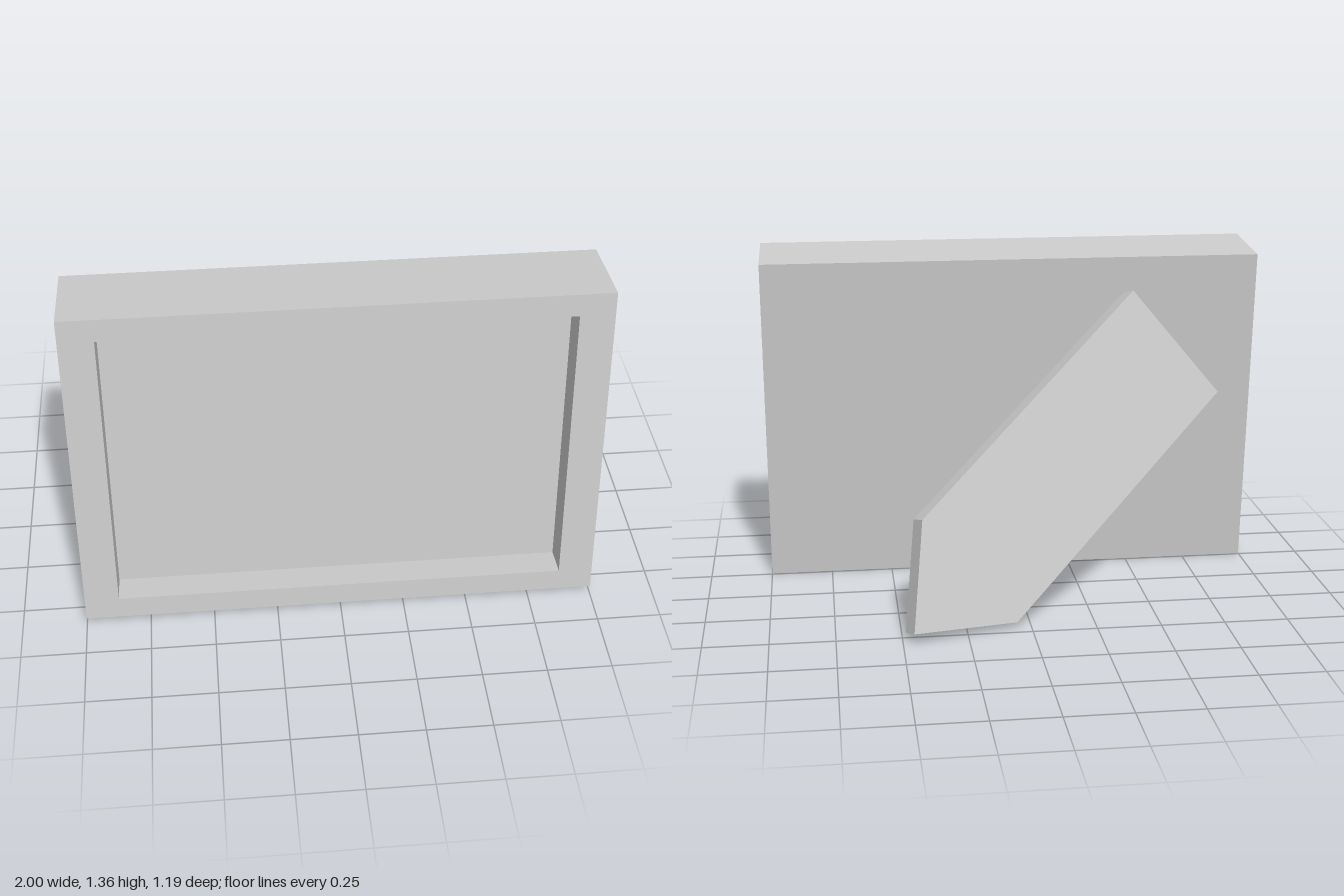
import * as THREE from 'three';

const material = new THREE.MeshStandardMaterial({ color: 0xcccccc, flatShading: true });

function addMesh(parent, geometry, name) {
  const mesh = new THREE.Mesh(geometry, material);
  mesh.name = name;
  parent.add(mesh);
  return mesh;
}

function rectangle(Path, x, y0, y1) {
  return new Path([[-x, y0], [x, y0], [x, y1], [-x, y1]].map(([a, b]) => new THREE.Vector2(a, b)));
}

export function createModel() {
  const model = new THREE.Group();
  model.name = 'pictureFrame';

  // Frame leaning back, pivoting on its lower front edge
  const height = 1.334, depth = 0.342, recess = 0.121;
  const frame = new THREE.Group();
  frame.name = 'frame';
  frame.position.set(0, 0.037, 0.598);
  frame.rotation.x = -Math.atan2(0.124, 1.328);
  model.add(frame);

  // Border around the recessed picture
  const outline = rectangle(THREE.Shape, 1, 0, height);
  outline.holes.push(rectangle(THREE.Path, 0.868, 0.088, height - 0.088));
  const border = new THREE.ExtrudeGeometry(outline, { depth: recess, bevelEnabled: false });
  addMesh(frame, border, 'border').position.z = -recess;

  // Solid back, whose front is the picture panel
  const back = new THREE.BoxGeometry(2, height, depth - recess);
  addMesh(frame, back, 'backPanel').position.set(0, height / 2, -(depth + recess) / 2);

  // Pointed stand: shape x runs down the leg, y across it
  const half = 0.28, length = 1.285, tip = 0.322;
  const legShape = new THREE.Shape(
    [[0, -half], [length, -half], [length + tip, 0], [length, half], [0, half]]
      .map(([x, y]) => new THREE.Vector2(x, y)));
  const leg = addMesh(model,
    new THREE.ExtrudeGeometry(legShape, { depth: 0.088, bevelEnabled: false }), 'standLeg');
  const across = new THREE.Vector3(0.642, 0.767, 0).normalize();
  const facing = new THREE.Vector3(0.69, -0.591, -0.419).cross(across).normalize();
  const down = across.clone().cross(facing);
  leg.quaternion.setFromRotationMatrix(new THREE.Matrix4().makeBasis(down, across, facing));
  leg.position.set(-0.66, 0.992, 0.08);

  return model;
}
